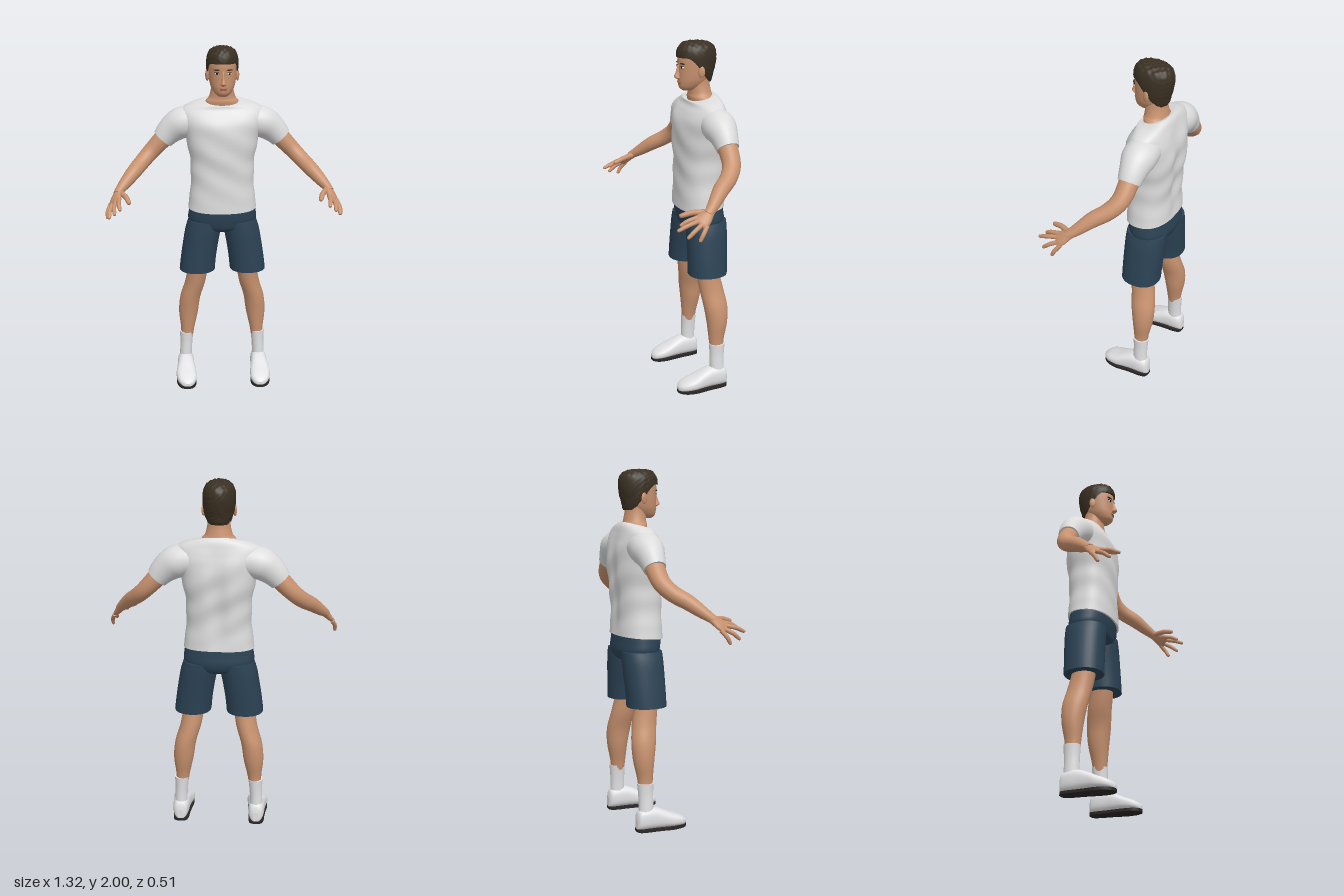
import * as THREE from 'three';

const mat = (name, color, side = THREE.FrontSide) => {
  const m = new THREE.MeshStandardMaterial({ color, side });
  m.name = name;
  return m;
};
const V = (x, y, z) => new THREE.Vector3(x, y, z);
const X = V(1, 0, 0), UP = V(0, 1, 0), FWD = V(0, 0, 1);

// Catmull-Rom through rows of numbers, t in 0..1
function sample(rows, t) {
  const f = t * (rows.length - 1), i = Math.min(Math.floor(f), rows.length - 2), k = f - i;
  const at = j => rows[Math.max(0, Math.min(rows.length - 1, j))];
  return [0, 1, 2, 3, 4, 5].map(c => {
    const [a, b, d, e] = [at(i - 1), at(i), at(i + 1), at(i + 2)].map(r => r[c] || 0);
    return b + 0.5 * k * (d - a + k * (2 * a - 5 * b + 4 * d - e + k * (3 * (b - d) + e - a)));
  });
}

// Skin over rings [x, y, z, radiusA, radiusB, tilt]; rings face `dir`, or follow the path if none
function loft(rows, { dir = null, ref = X, e = 1, seg = 32, steps = 5, warp = null } = {}) {
  const n = (rows.length - 1) * steps, pos = [], idx = [];
  const pw = v => Math.sign(v) * Math.pow(Math.abs(v), e);
  const centre = t => V(...sample(rows, Math.max(0, Math.min(1, t))).slice(0, 3));
  for (let i = 0; i <= n; i++) {
    const [x, y, z, a, b, tilt] = sample(rows, i / n);
    const t = dir || centre((i + 0.5) / n).sub(centre((i - 0.5) / n)).normalize();
    const A = ref.clone().addScaledVector(t, -ref.dot(t)).normalize();
    const B = A.clone().cross(t);
    for (let j = 0; j < seg; j++) {
      const th = j / seg * Math.PI * 2;
      const p = V(x, y - tilt * Math.cos(th), z)
        .addScaledVector(A, a * pw(Math.sin(th))).addScaledVector(B, b * pw(Math.cos(th)));
      if (warp) warp(p, th);
      pos.push(p.x, p.y, p.z);
    }
  }
  for (let i = 0; i < n; i++) for (let j = 0; j < seg; j++) {
    const k = (j + 1) % seg, a = i * seg + j, b = i * seg + k, c = b + seg, d = a + seg;
    idx.push(a, b, c, a, c, d);
  }
  // End caps with their own corners
  for (const [row, flip] of [[0, true], [n, false]]) {
    const base = pos.length / 3, mid = V(0, 0, 0);
    for (let j = 0; j < seg; j++) {
      const p = pos.slice((row * seg + j) * 3, (row * seg + j) * 3 + 3);
      pos.push(...p);
      mid.add(V(...p).divideScalar(seg));
    }
    pos.push(mid.x, mid.y, mid.z);
    for (let j = 0; j < seg; j++) {
      const a = base + j, b = base + (j + 1) % seg;
      idx.push(base + seg, flip ? b : a, flip ? a : b);
    }
  }
  const g = new THREE.BufferGeometry();
  g.setAttribute('position', new THREE.Float32BufferAttribute(pos, 3));
  g.setIndex(idx);
  g.computeVertexNormals();
  return g;
}

function mirrored(g) {
  const m = g.clone().scale(-1, 1, 1), ix = m.index.array;
  for (let i = 0; i < ix.length; i += 3) [ix[i], ix[i + 1]] = [ix[i + 1], ix[i]];
  m.computeVertexNormals();
  return m;
}

const blob = (x, y, z, rx, ry, rz, turn = 0) =>
  new THREE.SphereGeometry(1, 20, 14).scale(rx, ry, rz).rotateY(turn).translate(x, y, z);

export function createModel() {
  const skin = mat('skin', 0xc8926f), hair = mat('hair', 0x3a3022), shirt = mat('shirt', 0xdcdcdc);
  const shorts = mat('shorts', 0x2b4254), white = mat('footwear', 0xe2e2e4), dark = mat('sole', 0x2a2725);
  const lip = mat('lips', 0xa4664f), eyeWhite = mat('eyeWhite', 0xd8cec4), iris = mat('iris', 0x241a14);
  const model = new THREE.Group();
  model.name = 'man';
  const add = (name, g, m) => {
    const mesh = new THREE.Mesh(g, m);
    mesh.name = name;
    model.add(mesh);
  };
  const pair = (name, g, m) => {
    add(name + 'Left', g, m);
    const r = g.index ? g : g.toNonIndexed();
    if (!r.index) r.setIndex([...Array(r.attributes.position.count).keys()]);
    add(name + 'Right', mirrored(r), m);
  };
  const up = { dir: UP };

  // Shirt body with a spine hollow and soft folds
  add('shirtBody', loft([
    [0, 1.075, -.112, .197, .132, .011], [0, 1.13, -.112, .19, .13, .005], [0, 1.2, -.112, .182, .128],
    [0, 1.3, -.115, .18, .13], [0, 1.4, -.118, .189, .137], [0, 1.5, -.12, .21, .138],
    [0, 1.57, -.12, .226, .13], [0, 1.62, -.125, .236, .11], [0, 1.655, -.13, .222, .092, .003],
    [0, 1.682, -.127, .165, .084, .01], [0, 1.692, -.12, .102, .075, .02],
  ], {
    dir: UP, e: .86, seg: 56, warp: (p, th) => {
      const fade = Math.max(0, Math.sin((p.y - 1.07) / .6 * Math.PI));
      if (Math.cos(th) < 0) p.z += .022 * fade * Math.exp(-((p.x / .045) ** 2));
      p.z += .004 * fade * Math.sin(p.y * 38 + p.x * 22) * Math.cos(th);
      p.x += .003 * fade * Math.sin(p.y * 45) * Math.sin(th);
    },
  }), shirt);
  pair('sleeve', loft([
    [.1, 1.575, -.13, .09, .08], [.17, 1.575, -.135, .092, .088], [.235, 1.56, -.138, .092, .09],
    [.292, 1.52, -.14, .074, .077], [.336, 1.472, -.14, .062, .062],
  ], { ref: FWD }), shirt);

  // Shorts
  add('shortsHips', loft([
    [0, .93, -.118, .09, .06], [0, .955, -.118, .16, .105], [0, 1.0, -.12, .196, .122],
    [0, 1.05, -.115, .194, .124], [0, 1.1, -.112, .185, .122],
  ], { dir: UP, e: .9 }), shorts);
  pair('shortsLeg', loft([
    [.148, .695, -.11, .104, .111], [.14, .77, -.112, .103, .112], [.128, .85, -.115, .103, .114],
    [.112, .94, -.118, .103, .116], [.1, 1.0, -.12, .096, .115],
  ], { dir: UP, e: .9 }), shorts);

  // Legs and socks
  pair('leg', loft([
    [.213, .24, -.145, .036, .041], [.208, .3, -.145, .041, .045], [.202, .4, -.15, .057, .06],
    [.19, .5, -.145, .06, .07], [.161, .6, -.13, .06, .07], [.145, .7, -.113, .06, .068], [.138, .78, -.11, .063, .07],
  ], up), skin);
  pair('sock', loft([
    [.222, .09, -.145, .037, .043], [.22, .15, -.144, .036, .042], [.217, .21, -.145, .037, .043], [.215, .272, -.146, .042, .047],
  ], up), white);

  // Shoes: stations of [z, half width, top], and a sole of the same outline
  const stations = [[-.203, .016, .075], [-.19, .038, .115], [-.15, .047, .13], [-.1, .049, .13], [-.05, .054, .113],
    [0, .06, .09], [.05, .055, .07], [.083, .038, .052], [.098, .014, .035]];
  const footX = z => .222 - Math.max(0, z) * .06;
  pair('shoe', loft(stations.map(([z, w, top]) => [footX(z), (top + .01) / 2, z, w, (top - .01) / 2]),
    { dir: FWD, e: .78 }), white);
  const outline = [...stations.map(([z, w]) => new THREE.Vector2(footX(z) + w * .96, z)),
    ...stations.slice().reverse().map(([z, w]) => new THREE.Vector2(footX(z) - w * .96, z))];
  const soleShape = new THREE.Shape(new THREE.SplineCurve([...outline, outline[0]]).getPoints(60).slice(0, -1));
  pair('sole', new THREE.ExtrudeGeometry(soleShape, { depth: .016, bevelEnabled: false })
    .rotateX(Math.PI / 2).translate(0, .016, 0), dark);

  // Arms
  pair('arm', loft([
    [.27, 1.54, -.14, .055, .055], [.335, 1.473, -.14, .054, .053], [.405, 1.4, -.13, .05, .047],
    [.458, 1.348, -.088, .046, .044], [.505, 1.306, -.025, .043, .041], [.552, 1.26, .03, .034, .033],
    [.584, 1.228, .07, .027, .024], [.592, 1.216, .085, .026, .022],
  ], { ref: FWD }), skin);

  // Hands
  const across = V(.057, -.04, -.045).normalize();
  pair('palm', loft([
    [.58, 1.234, .062, .024, .02], [.59, 1.216, .084, .031, .02], [.6, 1.196, .11, .041, .018],
    [.607, 1.18, .134, .041, .014], [.61, 1.174, .143, .034, .007],
  ], { ref: across, seg: 24 }), skin);
  const fingers = {
    indexFinger: [[.581, 1.203, .135], [.58, 1.19, .19], [.573, 1.166, .232]],
    middleFinger: [[.598, 1.19, .133], [.606, 1.175, .2], [.602, 1.15, .258]],
    ringFinger: [[.615, 1.177, .122], [.631, 1.15, .172], [.634, 1.115, .215]],
    littleFinger: [[.628, 1.168, .105], [.645, 1.132, .132], [.647, 1.094, .153]],
    thumb: [[.572, 1.222, .085], [.542, 1.217, .15], [.522, 1.2, .215]],
  };
  for (const [name, [a, b, c]] of Object.entries(fingers)) {
    const r = name === 'thumb' ? .016 : .0125;
    const mix = k => a.map((_, i) => b[i] + (c[i] - b[i]) * k);
    pair(name, loft([[...a, r, r], [...b, r * .92, r * .92], [...mix(.6), r * .85, r * .85],
      [...mix(.93), r * .65, r * .65], [...c, r * .15, r * .15]], { ref: across, seg: 14, steps: 4 }), skin);
  }

  // Neck and head
  add('neck', loft([
    [0, 1.64, -.122, .1, .06], [0, 1.69, -.12, .094, .068], [0, 1.715, -.118, .075, .064],
    [0, 1.76, -.113, .063, .06], [0, 1.81, -.11, .06, .06],
  ], up), skin);
  add('head', loft([
    [0, 1.732, -.052, .028, .036], [0, 1.75, -.062, .048, .064], [0, 1.78, -.076, .065, .083],
    [0, 1.81, -.084, .073, .091], [0, 1.85, -.091, .078, .098], [0, 1.9, -.095, .08, .104],
    [0, 1.94, -.097, .077, .098], [0, 1.97, -.095, .06, .075], [0, 1.985, -.09, .035, .045], [0, 1.988, -.09, .008, .01],
  ], { dir: UP, seg: 40 }), skin);

  // Hair: a cap whose lower rim climbs from the nape to the forehead
  add('hair', loft([
    [0, 1.77, -.145, .05, .03], [0, 1.79, -.118, .066, .068], [0, 1.82, -.107, .078, .085], [0, 1.86, -.1, .086, .103],
    [0, 1.91, -.097, .089, .113], [0, 1.95, -.097, .084, .109], [0, 1.978, -.095, .068, .091],
    [0, 1.994, -.088, .04, .058], [0, 1.997, -.085, .006, .008],
  ], {
    dir: UP, seg: 64, steps: 7, warp: (p, th) => {
      const low = 1.775 + .14 * THREE.MathUtils.smoothstep(Math.cos(th), -.55, .72);
      const bump = 1 + .014 * Math.sin(p.x * 190 + p.y * 90) * Math.sin(p.z * 170 - p.y * 140);
      p.x *= bump;
      p.z = -.095 + (p.z + .095) * bump;
      p.y = Math.max(p.y + .004 * Math.sin(p.x * 160) * Math.sin(p.z * 150), low);
    },
  }), hair);

  // Face
  add('nose', loft([
    [0, 1.794, .005, .009, .006], [0, 1.802, .011, .0165, .015], [0, 1.81, .013, .0145, .02],
    [0, 1.83, .009, .0095, .016], [0, 1.86, .004, .008, .011], [0, 1.878, .002, .008, .006],
  ], { dir: UP, seg: 20 }), skin);
  add('upperLip', blob(0, 1.782, .004, .022, .0045, .0075), lip);
  add('lowerLip', blob(0, 1.774, .003, .019, .005, .008), lip);
  pair('eye', blob(.034, 1.862, -.003, .014, .0058, .0065, .3), eyeWhite);
  pair('iris', blob(.034, 1.862, .001, .0055, .0055, .004, .25), iris);
  pair('lashLine', blob(.034, 1.868, -.001, .016, .002, .006, .3), iris);
  pair('eyebrow', blob(.035, 1.883, -.001, .02, .004, .0065, .33), hair);
  pair('ear', blob(.084, 1.84, -.094, .009, .032, .019, -.35), skin);
  return model;
}
